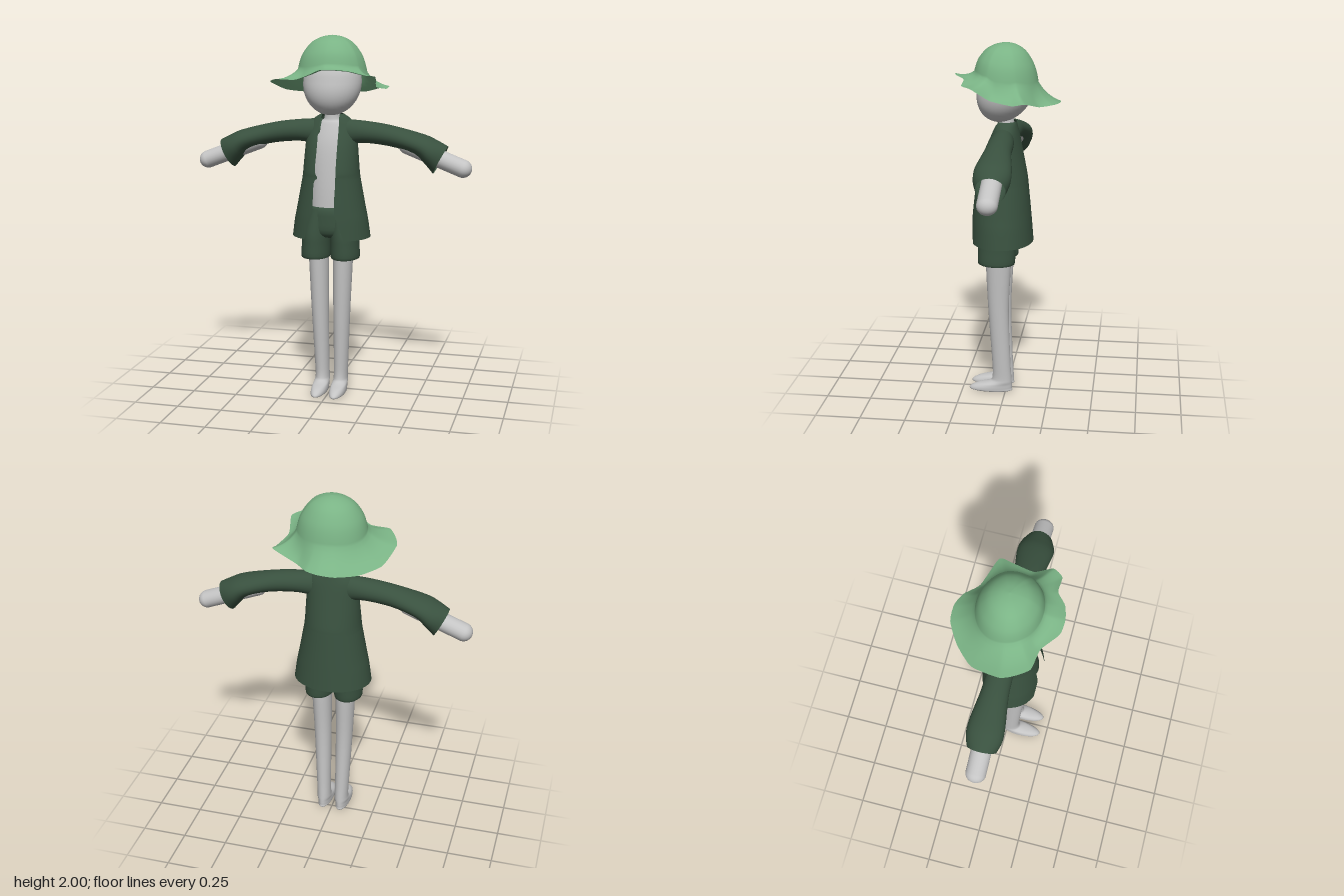
import * as THREE from 'three';

const material = (name, color) => {
  const m = new THREE.MeshStandardMaterial({ color, side: THREE.DoubleSide });
  m.name = name;
  return m;
};

// Smoothly resamples a list of number rows
function smooth(rows, steps) {
  const out = [];
  const at = (i) => rows[Math.min(rows.length - 1, Math.max(0, i))];
  for (let i = 0; i < rows.length - 1; i++) {
    for (let s = 0; s < steps; s++) {
      const t = s / steps;
      const [a, b, c, d] = [at(i - 1), at(i), at(i + 1), at(i + 2)];
      out.push(b.map((v, k) => v + 0.5 * t * (c[k] - a[k]
        + t * (2 * a[k] - 5 * v + 4 * c[k] - d[k] + t * (3 * (v - c[k]) + d[k] - a[k])))));
    }
  }
  out.push(rows[rows.length - 1]);
  return out;
}

// Joins equal-length rings of points into a smooth skin
function skin(rings, closed = true) {
  const n = rings[0].length;
  const index = [];
  for (let i = 0; i < rings.length - 1; i++) {
    for (let j = 0; j < (closed ? n : n - 1); j++) {
      const k = (j + 1) % n;
      const a = i * n + j, b = i * n + k, c = a + n, d = b + n;
      index.push(a, b, c, b, d, c);
    }
  }
  const g = new THREE.BufferGeometry();
  g.setAttribute('position', new THREE.Float32BufferAttribute(rings.flat(2), 3));
  g.setIndex(index);
  g.computeVertexNormals();
  return g;
}

// Upright tube from rows of [y, centre x, half x, front z, back z]
function upright(rows, side = 1, steps = 4, n = 32) {
  return skin(smooth(rows, steps).map(([y, cx, hx, zf, zb]) =>
    Array.from({ length: n }, (_, j) => {
      const a = (j / n) * Math.PI * 2;
      return [side * (cx + hx * Math.sin(a)), y, (zf + zb) / 2 + ((zf - zb) / 2) * Math.cos(a)];
    })));
}

function createHat() {
  // Brim edge as [x, y, z], going once around
  const edge = [
    [0, 1.83, 0.28], [0.075, 1.83, 0.26], [0.14, 1.82, 0.21], [0.23, 1.80, 0.21], [0.27, 1.79, 0.155],
    [0.255, 1.73, 0.06], [0.285, 1.71, -0.06], [0.285, 1.72, -0.13], [0.14, 1.68, -0.19],
    [0.07, 1.68, -0.26], [0, 1.68, -0.29], [-0.09, 1.675, -0.285], [-0.2, 1.67, -0.22],
    [-0.3, 1.69, -0.12], [-0.34, 1.74, 0.03], [-0.32, 1.755, 0.1], [-0.27, 1.77, 0.175],
    [-0.16, 1.77, 0.195], [-0.07, 1.80, 0.27],
  ].map((p) => new THREE.Vector3(...p));
  const rim = new THREE.CatmullRomCurve3(edge, true, 'catmullrom', 0.3).getPoints(114).slice(0, 114);
  // Crown as [share of base radius, share of height]
  const crown = smooth([[0, 1], [0.3, 0.95], [0.6, 0.79], [0.82, 0.52], [0.93, 0.28], [1, 0]], 3);
  const rings = crown.map(([r, h]) => rim.map((p) => {
    const a = Math.atan2(p.x, p.z);
    const baseY = 1.81 + 0.4 * (p.y - 1.74);
    return [0.19 * r * Math.sin(a), baseY + (2 - baseY) * h, 0.173 * r * Math.cos(a)];
  }));
  const base = rings[rings.length - 1];
  for (let s = 1; s <= 6; s++) {
    const t = s / 6;
    const sag = 0.05 * t * (1 - t);
    rings.push(rim.map((p, j) => {
      const [x, y, z] = base[j];
      const out = t * (0.75 + 0.25 * t);
      return [x + (p.x - x) * out, y + (p.y - y) * t - sag, z + (p.z - z) * out];
    }));
  }
  return skin(rings);
}

function createCoatBody() {
  // [y, half x, front z, back z, left opening x, right opening x]
  const rows = smooth([
    [1.575, 0.06, 0.055, -0.055, 0.048, 0.048],
    [1.55, 0.1, 0.065, -0.06, 0.05, 0.052],
    [1.5, 0.135, 0.085, -0.072, 0.053, 0.06],
    [1.4, 0.146, 0.13, -0.092, 0.055, 0.058],
    [1.28, 0.155, 0.166, -0.115, 0.055, 0.06],
    [1.24, 0.159, 0.17, -0.12, 0.055, 0.045],
    [1.21, 0.164, 0.173, -0.123, 0.055, 0.066],
    [1.07, 0.19, 0.187, -0.136, 0.052, 0.07],
    [1.0, 0.204, 0.192, -0.142, 0.07, 0.088],
    [0.9, 0.218, 0.196, -0.15, 0.105, 0.118],
  ], 4);
  const n = 56;
  return skin(rows.map(([y, hx, zf, zb, left, right]) => {
    const start = Math.asin(left / hx);
    const end = Math.PI * 2 - Math.asin(right / hx);
    return Array.from({ length: n }, (_, j) => {
      const a = start + ((end - start) * j) / (n - 1);
      return [hx * Math.sin(a), y, (zf + zb) / 2 + ((zf - zb) / 2) * Math.cos(a)];
    });
  }), false);
}

function createSleeve(side) {
  // [top x, top y, bottom x, bottom y, half z]
  const rows = smooth([
    [0.05, 1.55, 0.06, 1.4, 0.055], [0.19, 1.54, 0.175, 1.42, 0.068], [0.33, 1.52, 0.33, 1.406, 0.073],
    [0.51, 1.475, 0.46, 1.37, 0.095], [0.585, 1.443, 0.52, 1.315, 0.096], [0.64, 1.415, 0.562, 1.265, 0.078],
  ], 4);
  return skin(rows.map(([tx, ty, bx, by, hz]) => Array.from({ length: 28 }, (_, j) => {
    const a = (j / 28) * Math.PI * 2;
    const t = (1 - Math.cos(a)) / 2;
    return [side * (tx + (bx - tx) * t), ty + (by - ty) * t, 0.008 + hz * Math.sin(a)];
  })));
}

export function createModel() {
  const model = new THREE.Group();
  const skinGrey = material('skinGrey', 0xc4c4c4);
  const hatGreen = material('hatGreen', 0x7ab385);
  const coatGreen = material('coatGreen', 0x39513f);
  const add = (name, geometry, mat) => {
    const mesh = new THREE.Mesh(geometry, mat);
    mesh.name = name;
    model.add(mesh);
    return mesh;
  };

  // Head: an egg whose chin leans forward
  const head = new THREE.SphereGeometry(1, 40, 28).scale(0.16, 0.175, 0.155).translate(0, 1.745, 0);
  const p = head.attributes.position;
  for (let i = 0; i < p.count; i++) p.setZ(i, p.getZ(i) + Math.max(0, 1.76 - p.getY(i)) * 0.2);
  head.computeVertexNormals();
  add('head', head, skinGrey);
  add('hat', createHat(), hatGreen);

  // Neck and torso
  add('torso', upright([
    [1.62, 0, 0.04, 0.045, -0.035], [1.55, 0, 0.046, 0.046, -0.045], [1.52, 0, 0.08, 0.06, -0.05],
    [1.4, 0, 0.125, 0.095, -0.07], [1.2, 0, 0.12, 0.115, -0.07], [1.04, 0, 0.115, 0.12, -0.05],
  ]), skinGrey);

  add('coat', createCoatBody(), coatGreen);

  // Shorts: hips with a closed waist
  add('shortsHips', upright([
    [1.065, 0, 0, 0.035, 0.035], [1.07, 0, 0.118, 0.125, -0.06], [1.0, 0, 0.135, 0.138, -0.065],
    [0.93, 0, 0.145, 0.135, -0.06], [0.9, 0, 0.1, 0.1, -0.03],
  ], 1, 3), coatGreen);

  for (const side of [1, -1]) {
    const name = side > 0 ? 'left' : 'right';

    add(name + 'ShortsLeg', upright([
      [1.06, 0.06, 0.056, 0.126, -0.05], [0.93, 0.078, 0.075, 0.147, -0.062], [0.86, 0.082, 0.078, 0.15, -0.06],
      [0.785, 0.084, 0.079, 0.148, -0.055], [0.795, 0.08, 0.06, 0.12, -0.03],
    ], side), coatGreen);

    // Leg and foot in one piece
    add(name + 'Leg', upright([
      [0.95, 0.072, 0.058, 0.11, -0.035], [0.78, 0.069, 0.055, 0.108, -0.033], [0.5, 0.063, 0.048, 0.096, -0.02],
      [0.2, 0.056, 0.041, 0.077, -0.028], [0.09, 0.053, 0.039, 0.075, -0.034], [0.06, 0.053, 0.041, 0.095, -0.036],
      [0.042, 0.053, 0.043, 0.165, -0.037], [0.02, 0.053, 0.044, 0.205, -0.037], [0.003, 0.053, 0.038, 0.195, -0.03],
      [0, 0.053, 0, 0.08, 0.08],
    ], side), skinGrey);

    add(name + 'Sleeve', createSleeve(side), coatGreen);

    // Arm ending in a rounded mitten
    const from = new THREE.Vector3(side * 0.42, 1.415, 0.008);
    const to = new THREE.Vector3(side * 0.722, 1.298, 0.008);
    const arm = add(name + 'Arm', new THREE.CapsuleGeometry(0.049, from.distanceTo(to), 10, 24), skinGrey);
    arm.position.copy(from).lerp(to, 0.5);
    arm.quaternion.setFromUnitVectors(new THREE.Vector3(0, 1, 0), to.clone().sub(from).normalize());
    arm.scale.z = 1.1;
  }
  return model;
}
